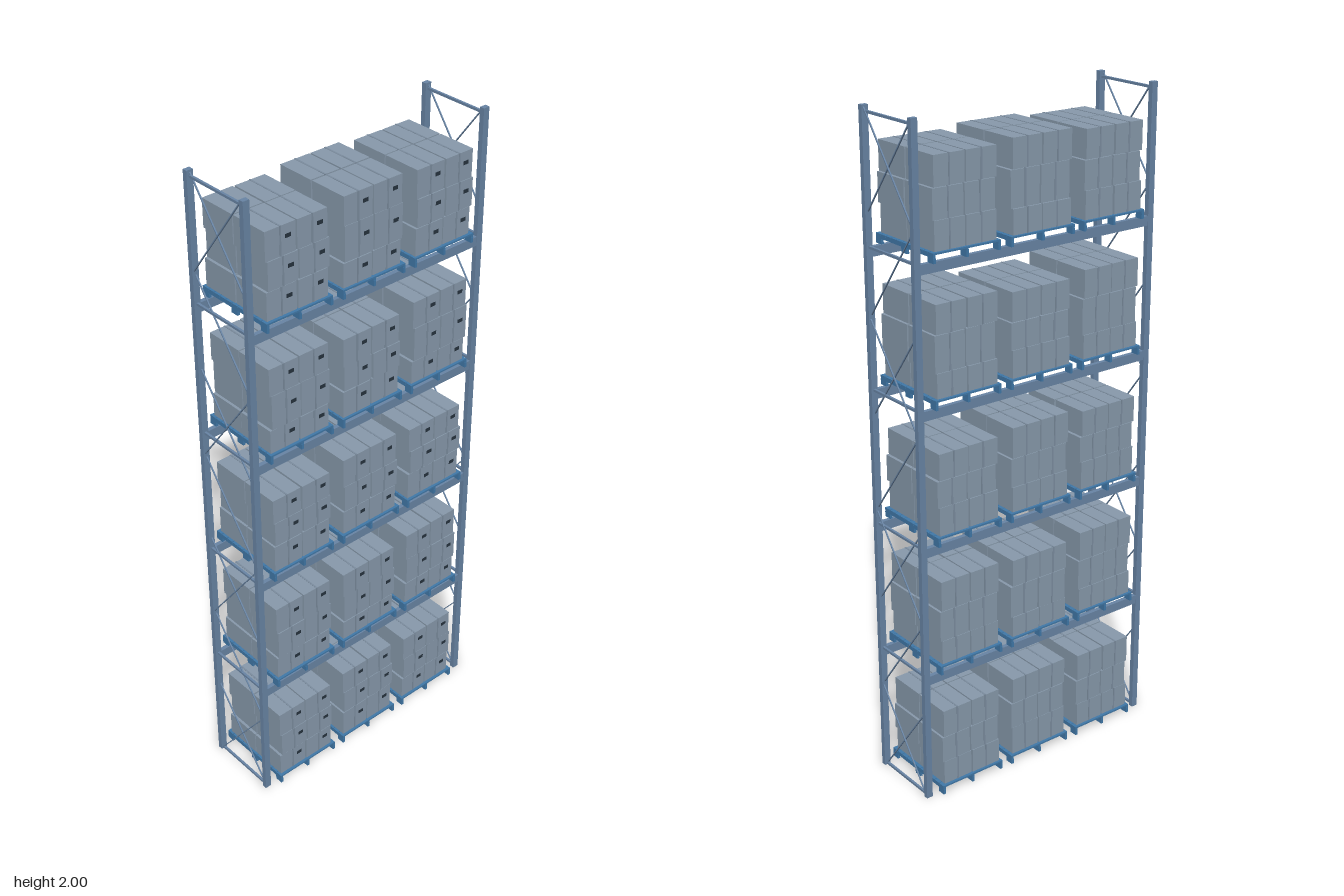
import * as THREE from 'three';

const paint = (color) => new THREE.MeshStandardMaterial({ color });
const rackBlue = paint(0x6884a4);
const palletBlue = paint(0x4078a8);
const cardboard = paint(0x8799ab);
const tapeGrey = paint(0x7b8c9e);
const labelDark = paint(0x26323e);
const unit = new THREE.BoxGeometry(1, 1, 1);

// Box of size w,h,d centred on x,z with its bottom at y
function block(parent, name, material, w, h, d, x, y, z) {
  const m = new THREE.Mesh(unit, material);
  m.name = name;
  m.scale.set(w, h, d);
  m.position.set(x, y + h / 2, z);
  parent.add(m);
  return m;
}

// Thin diagonal rod between two points of a side frame
function rod(parent, x, y0, z0, y1, z1) {
  const len = Math.hypot(y1 - y0, z1 - z0);
  const m = block(parent, 'diagonalBrace', rackBlue, 0.004, len, 0.003, x, 0, 0);
  m.position.y = (y0 + y1) / 2;
  m.position.z = (z0 + z1) / 2;
  m.rotation.x = Math.atan2(z1 - z0, y1 - y0);
}

let seed = 7;
function jitter(a) {
  seed = (seed * 16807) % 2147483647;
  return (seed / 2147483647 - 0.5) * 2 * a;
}

const POST_X = 0.405, POST_Z = 0.11, STEP = 0.4055;

function sideFrame(side) {
  const g = new THREE.Group();
  g.name = side > 0 ? 'leftFrame' : 'rightFrame';
  const x = side * POST_X;
  for (const s of [-1, 1]) block(g, 'upright', rackBlue, 0.02, 2, 0.015, x, 0, s * POST_Z);
  // Horizontal ties
  for (const y of [0.002, 0.402, 0.808, 1.213, 1.619, 1.98])
    block(g, 'frameTie', rackBlue, 0.007, 0.007, 0.21, x, y, 0);
  // Bracing alternates between crossed and single bays
  const bay = 2 / 7, z = 0.103;
  for (let i = 0; i < 7; i++) {
    const y0 = i * bay + 0.006, y1 = (i + 1) * bay - 0.006;
    rod(g, x, y0, z, y1, -z);
    if (i % 2 === 0) rod(g, x + 0.004 * side, y0, -z, y1, z);
  }
  return g;
}

function pallet() {
  const g = new THREE.Group();
  g.name = 'pallet';
  // Deck boards run across three rows of feet
  const n = 11, pitch = 0.264 / n;
  for (let i = 0; i < n; i++)
    block(g, 'deckBoard', palletBlue, 0.22, 0.005, pitch - 0.002, 0, 0.023, (i - (n - 1) / 2) * pitch);
  for (const x of [-0.106, 0, 0.106]) {
    block(g, 'stringer', palletBlue, 0.008, 0.008, 0.262, x, 0.015, 0);
    for (const z of [-0.119, 0, 0.119])
      block(g, 'foot', palletBlue, 0.008, 0.016, 0.025, x, 0, z);
  }
  return g;
}

function carton(w, h, d) {
  const g = new THREE.Group();
  g.name = 'carton';
  block(g, 'cartonBody', cardboard, w, h, d, 0, 0, 0);
  // Tape over the lid seam and down both ends
  block(g, 'tape', tapeGrey, 0.005, h + 0.001, d + 0.002, 0, 0, 0);
  // Dark label on the front, beside the seam
  block(g, 'label', labelDark, 0.018, 0.011, 0.002, 0.025, h * 0.54, d / 2);
  return g;
}

// Two by two columns of cartons, three layers high
function load(heights) {
  const g = new THREE.Group();
  g.name = 'cartonStack';
  let y = 0.028;
  heights.forEach((h, layer) => {
    const shift = layer === 1 ? 0.004 : -0.002;
    for (const sx of [-1, 1]) for (const sz of [-1, 1]) {
      const c = carton(0.098, h - 0.0015, 0.121);
      c.position.set(sx * 0.0515 + shift + jitter(0.001), y, sz * 0.0625 + jitter(0.001));
      g.add(c);
    }
    y += h;
  });
  return g;
}

// Layer heights per level: outer stacks, then middle stack
const LAYERS = [
  [[0.077, 0.084, 0.088], [0.092, 0.085, 0.083]],
  [[0.075, 0.095, 0.093], [0.066, 0.1, 0.085]],
  [[0.087, 0.08, 0.08], [0.078, 0.088, 0.094]],
  [[0.073, 0.107, 0.085], [0.083, 0.08, 0.087]],
  [[0.083, 0.085, 0.085], [0.073, 0.105, 0.085]],
];

export function createModel() {
  const model = new THREE.Group();
  model.name = 'palletRack';
  model.add(sideFrame(-1), sideFrame(1));

  LAYERS.forEach(([outer, middle], level) => {
    const shelf = new THREE.Group();
    shelf.name = 'level' + (level + 1);
    shelf.position.y = level * STEP;
    // Front and back load beams, none at floor level
    if (level > 0) for (const s of [-1, 1])
      block(shelf, 'loadBeam', rackBlue, 0.79, 0.028, 0.013, 0, -0.028, s * POST_Z);
    for (const i of [-1, 0, 1]) {
      const bay = new THREE.Group();
      bay.name = 'palletLoad';
      bay.position.x = i * 0.255;
      bay.add(pallet(), load(i === 0 ? middle : outer));
      shelf.add(bay);
    }
    model.add(shelf);
  });
  return model;
}
